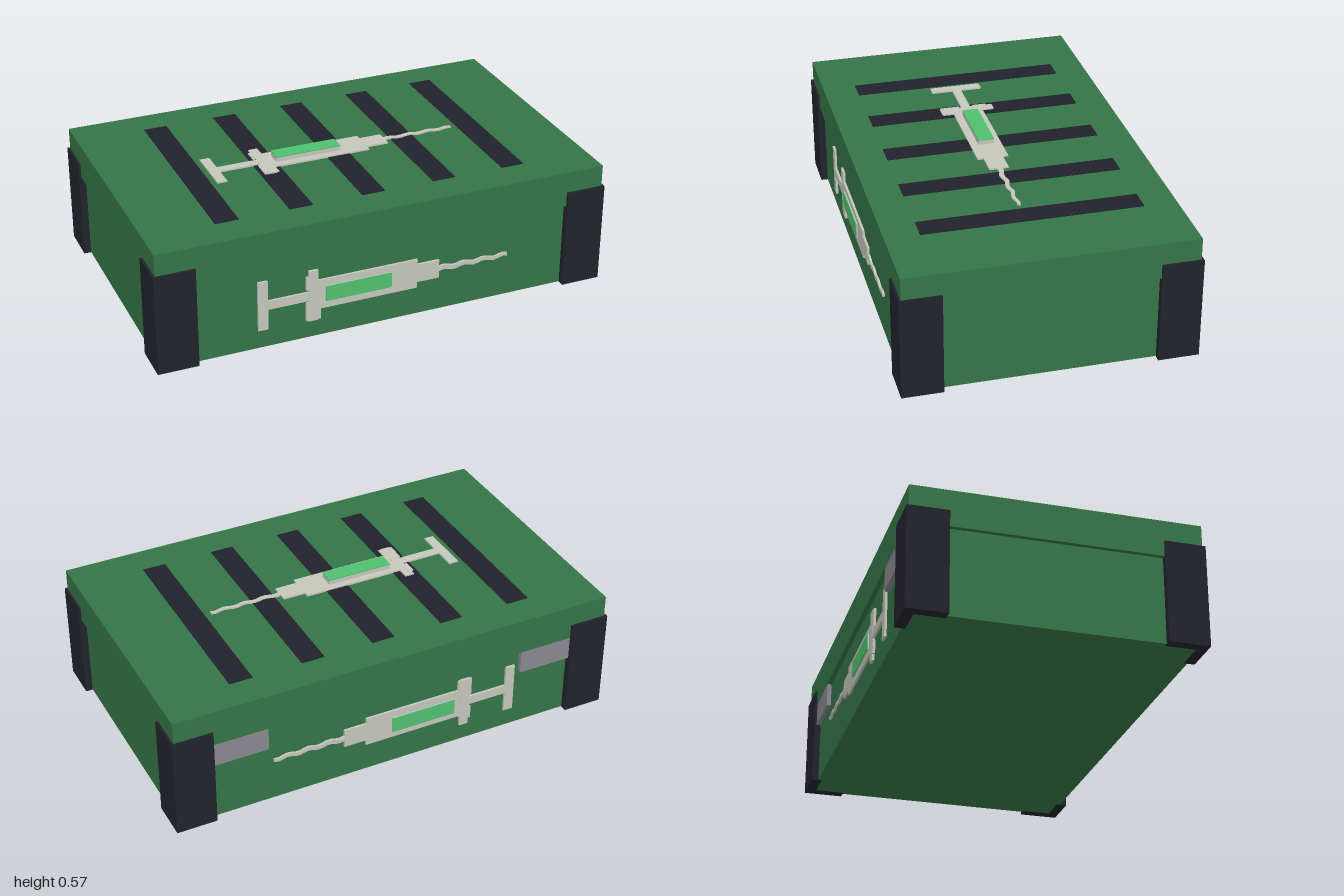
import * as THREE from 'three';

const paint = (name, color) => {
  const m = new THREE.MeshStandardMaterial({ color });
  m.name = name;
  return m;
};

export function createModel() {
  const green = paint('case green', 0x357547);
  const dark = paint('dark trim', 0x22222c);
  const pale = paint('pale grey', 0xc5c7bd);
  const fluid = paint('fluid green', 0x4fc070);
  const steel = paint('hinge grey', 0x88888f);

  const model = new THREE.Group();
  model.name = 'medicalCase';

  const add = (parent, name, geometry, material) => {
    const mesh = new THREE.Mesh(geometry, material);
    mesh.name = name;
    parent.add(mesh);
    return mesh;
  };
  // Box given by its lower and upper limits on each axis
  const box = (parent, name, material, x0, x1, y0, y1, z0, z1) => {
    const geometry = new THREE.BoxGeometry(x1 - x0, y1 - y0, z1 - z0);
    geometry.translate((x0 + x1) / 2, (y0 + y1) / 2, (z0 + z1) / 2);
    return add(parent, name, geometry, material);
  };

  // Case body with a slightly overhanging lid
  box(model, 'body', green, -0.97, 0.97, 0.002, 0.38, -0.585, 0.585);
  box(model, 'lid', green, -0.99, 0.99, 0.38, 0.54, -0.605, 0.605);

  // L-shaped corner guards
  for (const sx of [-1, 1]) {
    for (const sz of [-1, 1]) {
      const guard = new THREE.Group();
      guard.name = 'cornerGuard';
      const [xa, xb, xc] = [0.825, 0.955, 1].map((v) => v * sx);
      const [za, zb, zc] = [0.442, 0.57, 0.615].map((v) => v * sz);
      const span = (a, b) => [Math.min(a, b), Math.max(a, b)];
      box(guard, 'guardFace', dark, ...span(xa, xc), 0, 0.445, ...span(zb, zc));
      box(guard, 'guardSide', dark, ...span(xb, xc), 0, 0.445, ...span(za, zb));
      model.add(guard);
    }
    // Hinge plates on the back
    const hx = 0.71 * sx;
    box(model, 'hinge', steel, hx - 0.125, hx + 0.125, 0.275, 0.38, -0.604, -0.58);
  }

  // Stripes across the lid
  for (let i = -2; i <= 2; i++) {
    const x = i * 0.319;
    box(model, 'lidStripe', dark, x - 0.051, x + 0.051, 0.538, 0.542, -0.465, 0.46);
  }

  // Syringe relief lying in the xy plane and facing +z
  const makeSyringe = (depth, windowDepth) => {
    const g = new THREE.Group();
    g.name = 'syringe';
    const part = (name, x0, x1, y0, y1, d = depth) =>
      box(g, name, pale, x0, x1, y0, y1, -0.004, d);
    part('thumbPlate', -0.563, -0.52, -0.113, 0.112);
    part('plungerRod', -0.52, -0.34, -0.021, 0.019);
    part('flange', -0.343, -0.302, -0.118, 0.117, depth + 0.001);
    part('flangeGrip', -0.354, -0.29, -0.115, -0.03, depth + 0.0005);
    part('flangeGrip', -0.354, -0.302, 0.03, 0.09, depth + 0.0005);
    part('barrel', -0.302, 0.142, -0.068, 0.066);
    part('needleHub', 0.142, 0.241, -0.042, 0.042);
    part('windowFrame', -0.27, 0.022, -0.034, 0.035, windowDepth - 0.004);
    box(g, 'fluidWindow', fluid, -0.27, 0.022, -0.034, 0.035, windowDepth - 0.004, windowDepth);

    // Wavy tapering needle
    const n = 16;
    const upper = [];
    const lower = [];
    for (let i = 0; i <= n; i++) {
      const x = 0.241 + (0.318 * i) / n;
      const mid = 0.005 * Math.sin(i * 1.35) - 0.001;
      const half = 0.011 - (0.004 * i) / n;
      upper.push(new THREE.Vector2(x, mid + half));
      lower.unshift(new THREE.Vector2(x, mid - half));
    }
    const needle = new THREE.ExtrudeGeometry(new THREE.Shape([...lower, ...upper]), {
      depth: depth + 0.004, bevelEnabled: false,
    });
    needle.translate(0, 0, -0.004);
    add(g, 'needle', needle, pale);
    return g;
  };

  const front = makeSyringe(0.01, 0.018);
  front.position.set(0, 0.2, 0.585);
  const back = makeSyringe(0.01, 0.018);
  back.rotation.x = Math.PI;
  back.position.set(0, 0.2, -0.585);
  const top = makeSyringe(0.007, 0.03);
  top.rotation.x = -Math.PI / 2;
  top.position.set(0, 0.54, 0.024);
  model.add(front, back, top);

  return model;
}
